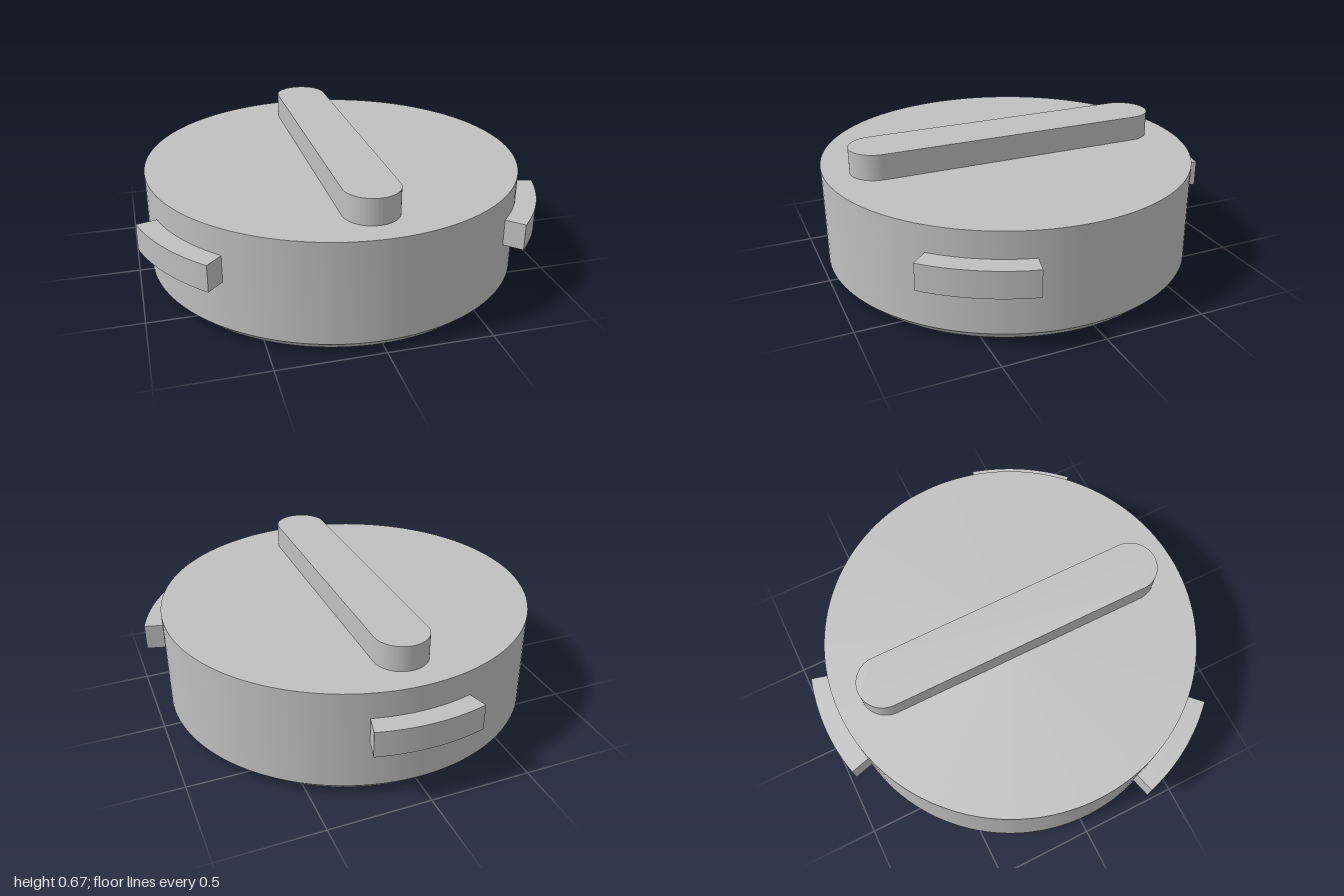
import * as THREE from 'three';
import { toCreasedNormals } from 'three/addons/utils/BufferGeometryUtils.js';

const CENTER_Z = 0.047;

// Extrude a plan-view outline upward from y = base, keeping sharp edges
function extrudeUp(shape, base, height) {
  const geo = new THREE.ExtrudeGeometry(shape, { depth: height, bevelEnabled: false, curveSegments: 32 });
  geo.rotateX(-Math.PI / 2);
  geo.translate(0, base, 0);
  return toCreasedNormals(geo, 0.5);
}

export function createModel() {
  const group = new THREE.Group();
  group.name = 'bayonetCap';
  const grey = new THREE.MeshStandardMaterial({ color: 0xc0c0c0 });
  grey.name = 'grey';

  const add = (name, geo) => {
    const mesh = new THREE.Mesh(geo, grey);
    mesh.name = name;
    mesh.position.z = CENTER_Z;
    group.add(mesh);
  };

  // Round body with chamfered foot and a blind recess underneath
  const profile = [
    [0, 0.36], [0.643, 0.36], [0.643, 0], [0.882, 0],
    [0.932, 0.05], [0.932, 0.545], [0, 0.545],
  ].map(([x, y]) => new THREE.Vector2(x, y));
  add('body', toCreasedNormals(new THREE.LatheGeometry(profile, 128), 0.5));

  // Grip bar with rounded ends across the top
  const r = 0.132, half = 0.807 - r;
  const bar = new THREE.Shape();
  bar.absarc(0, half, r, 0, Math.PI, false);
  bar.absarc(0, -half, r, Math.PI, Math.PI * 2, false);
  bar.closePath();
  add('gripBar', extrudeUp(bar, 0.54, 0.132));

  // Three curved locking tabs, one at the back and two toward the front
  const span = Math.PI / 12;
  const tabs = { backTab: 90, leftTab: -30, rightTab: 210 };
  for (const [name, degrees] of Object.entries(tabs)) {
    const a = THREE.MathUtils.degToRad(degrees);
    const tab = new THREE.Shape();
    tab.absarc(0, 0, 1.032, a - span, a + span, false);
    tab.absarc(0, 0, 0.91, a + span, a - span, true);
    tab.closePath();
    add(name, extrudeUp(tab, 0.285, 0.13));
  }
  return group;
}
